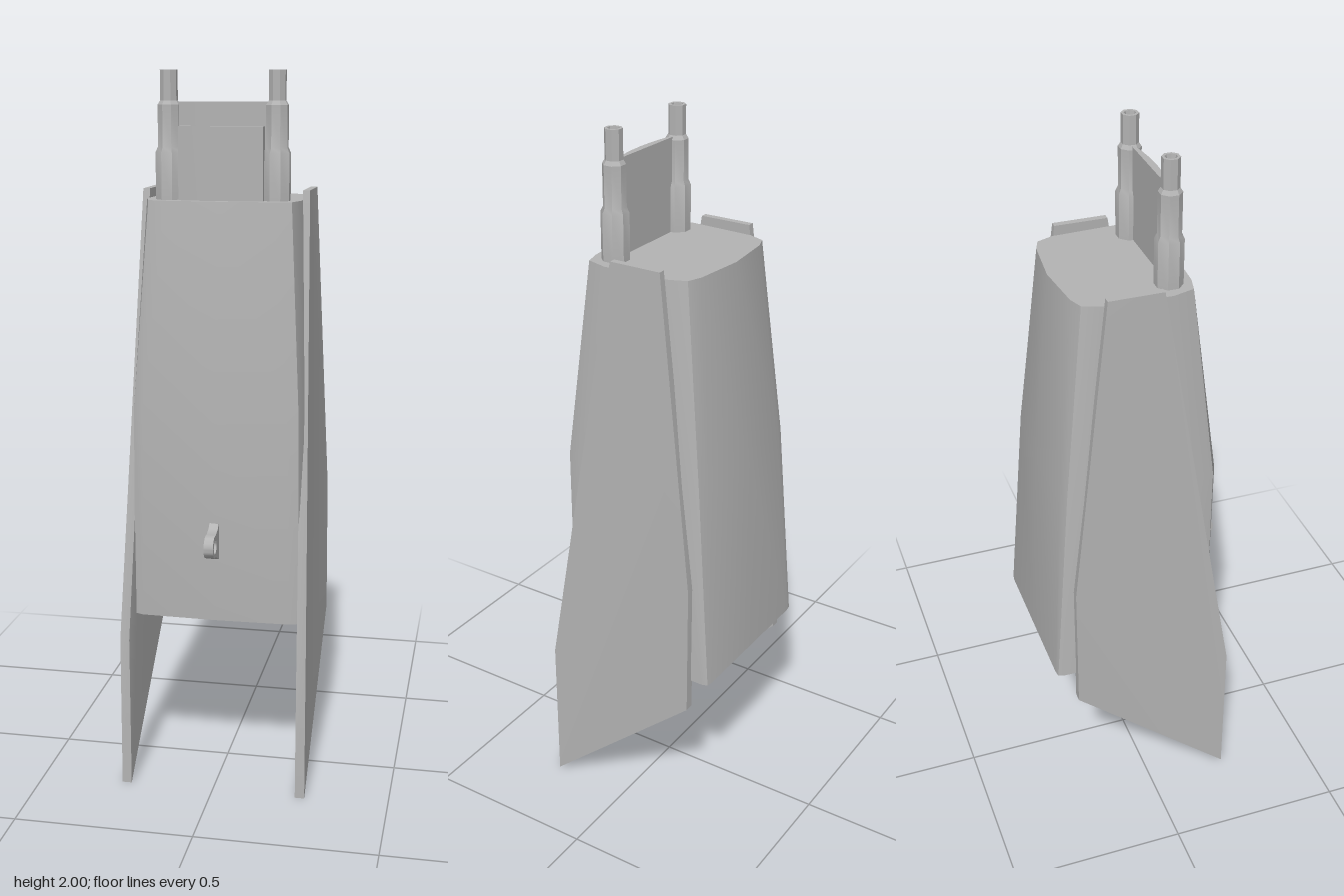
import * as THREE from 'three';
import { toCreasedNormals } from 'three/addons/utils/BufferGeometryUtils.js';

const grey = new THREE.MeshStandardMaterial({ color: 0xb3b3b3 });
grey.name = 'grey';

function add(parent, name, geometry, crease = 0.6) {
  const mesh = new THREE.Mesh(toCreasedNormals(geometry, crease), grey);
  mesh.name = name;
  parent.add(mesh);
  return mesh;
}

// Mirror half an outline (back centre to front centre) into a closed ring
function ring(half, y, inset = 0) {
  const k = 1 - inset / 0.24;
  const other = half.slice(1, -1).reverse().map(([x, z]) => [-x, z]);
  return [...half, ...other].map(([x, z]) => [x * k, y, z * k]);
}

// Skin a list of rings and close both ends
function loft(rows) {
  const n = rows[0].length, last = rows.length - 1;
  const pos = rows.flat(2), index = [];
  const endCentre = rows.flat().length;
  for (const row of [rows[0], rows[last]]) pos.push(0, row[0][1], 0);
  for (let i = 0; i < n; i++) {
    const j = (i + 1) % n;
    for (let r = 0; r < last; r++) {
      const a = r * n, b = a + n;
      index.push(a + i, b + i, b + j, a + i, b + j, a + j);
    }
    index.push(endCentre, i, j, endCentre + 1, last * n + j, last * n + i);
  }
  const g = new THREE.BufferGeometry();
  g.setAttribute('position', new THREE.Float32BufferAttribute(pos, 3));
  g.setIndex(index);
  return g;
}

// Interpolate along [y, value] stops
function along(stops, y) {
  for (let i = 1; i < stops.length; i++) {
    const [y0, v0] = stops[i - 1], [y1, v1] = stops[i];
    if (y <= y1) return THREE.MathUtils.lerp(v0, v1, (y - y0) / (y1 - y0));
  }
  return stops[stops.length - 1][1];
}

// Flat side panel leaning in with the body
function panelGeometry(side) {
  const outline = [[0.235, 0], [0.235, 0.44], [0.03, 1.685], [-0.12, 1.685], [-0.228, 0.8], [-0.228, 0.41]];
  const shape = new THREE.Shape(outline.map(p => new THREE.Vector2(...p)));
  const g = new THREE.ExtrudeGeometry(shape, { depth: 1, bevelEnabled: false });
  g.rotateY(-Math.PI / 2);
  const p = g.attributes.position;
  for (let i = 0; i < p.count; i++) {
    const y = p.getY(i);
    const outer = along([[0, 0.265], [0.44, 0.264], [0.8, 0.261], [1.685, 0.231]], y);
    const thick = along([[0, 0.027], [0.8, 0.025], [1.685, 0.019]], y);
    const t = side > 0 ? -p.getX(i) : 1 + p.getX(i);
    p.setX(i, side * (outer - t * thick));
  }
  return g;
}

// Upright plate with a bowed front face
function bowedPlate(halfWidth, zBack, zEdge, zMid, y0, y1) {
  const s = new THREE.Shape();
  s.moveTo(-halfWidth, -zBack);
  s.lineTo(-halfWidth, -zEdge);
  s.quadraticCurveTo(0, -(2 * zMid - zEdge), halfWidth, -zEdge);
  s.lineTo(halfWidth, -zBack);
  const g = new THREE.ExtrudeGeometry(s, { depth: y1 - y0, bevelEnabled: false, curveSegments: 6 });
  g.rotateX(-Math.PI / 2);
  g.translate(0, y0, 0);
  return g;
}

export function createModel() {
  const model = new THREE.Group();
  model.name = 'taperedHousing';

  // Hollow tapered body, open underneath
  const top = [[0, -0.205], [0.147, -0.19], [0.187, -0.175], [0.205, -0.13], [0.213, 0.06], [0.195, 0.12], [0.147, 0.132], [0, 0.14]];
  const mid = [[0, -0.258], [0.19, -0.245], [0.222, -0.235], [0.236, -0.19], [0.237, 0.14], [0.228, 0.18], [0.2, 0.195], [0, 0.212]];
  const low = [[0, -0.283], [0.22, -0.283], [0.238, -0.28], [0.243, -0.265], [0.243, 0.15], [0.235, 0.175], [0.21, 0.185], [0, 0.19]];
  add(model, 'body', loft([
    ring(top, 1.63, 0.018), ring(mid, 1.1, 0.018), ring(low, 0.5, 0.018),
    ring(low, 0.5), ring(mid, 1.1), ring(top, 1.66),
  ]));

  // Side panels and stepped posts with hollow tips
  const postProfile = [
    [0.038, 1.64], [0.038, 1.785], [0.031, 1.8], [0.031, 1.91], [0.024, 1.921],
    [0.024, 2], [0.016, 2], [0.012, 1.97], [0, 1.97],
  ].map(p => new THREE.Vector2(...p));
  for (const side of [1, -1]) {
    const label = side > 0 ? 'left' : 'right';
    add(model, label + 'SidePanel', panelGeometry(side), 0.3);
    const post = add(model, label + 'Post', new THREE.LatheGeometry(postProfile, 8, Math.PI / 8), 0.5);
    post.position.set(side * 0.147, 0, 0.07);
  }

  // Web between the posts and the raised plate in front of it
  add(model, 'postWeb', bowedPlate(0.125, 0.068, 0.075, 0.088, 1.65, 1.918));
  add(model, 'frontPlate', bowedPlate(0.115, 0.07, 0.107, 0.118, 1.65, 1.855));

  // Towing eye on the front
  const eye = new THREE.Shape();
  eye.moveTo(0.19, 0.68);
  eye.lineTo(0.24, 0.704);
  eye.absarc(0.25, 0.736, 0.032, -1.87, 1.87, false);
  eye.lineTo(0.215, 0.775);
  eye.lineTo(0.19, 0.795);
  const hole = new THREE.Path();
  hole.absarc(0.25, 0.736, 0.02, 0, Math.PI * 2, true);
  eye.holes.push(hole);
  const eyeGeometry = new THREE.ExtrudeGeometry(eye, { depth: 0.026, bevelEnabled: false, curveSegments: 10 });
  eyeGeometry.rotateY(-Math.PI / 2);
  eyeGeometry.translate(0.013, 0, 0);
  add(model, 'frontEye', eyeGeometry, 0.8);

  return model;
}
